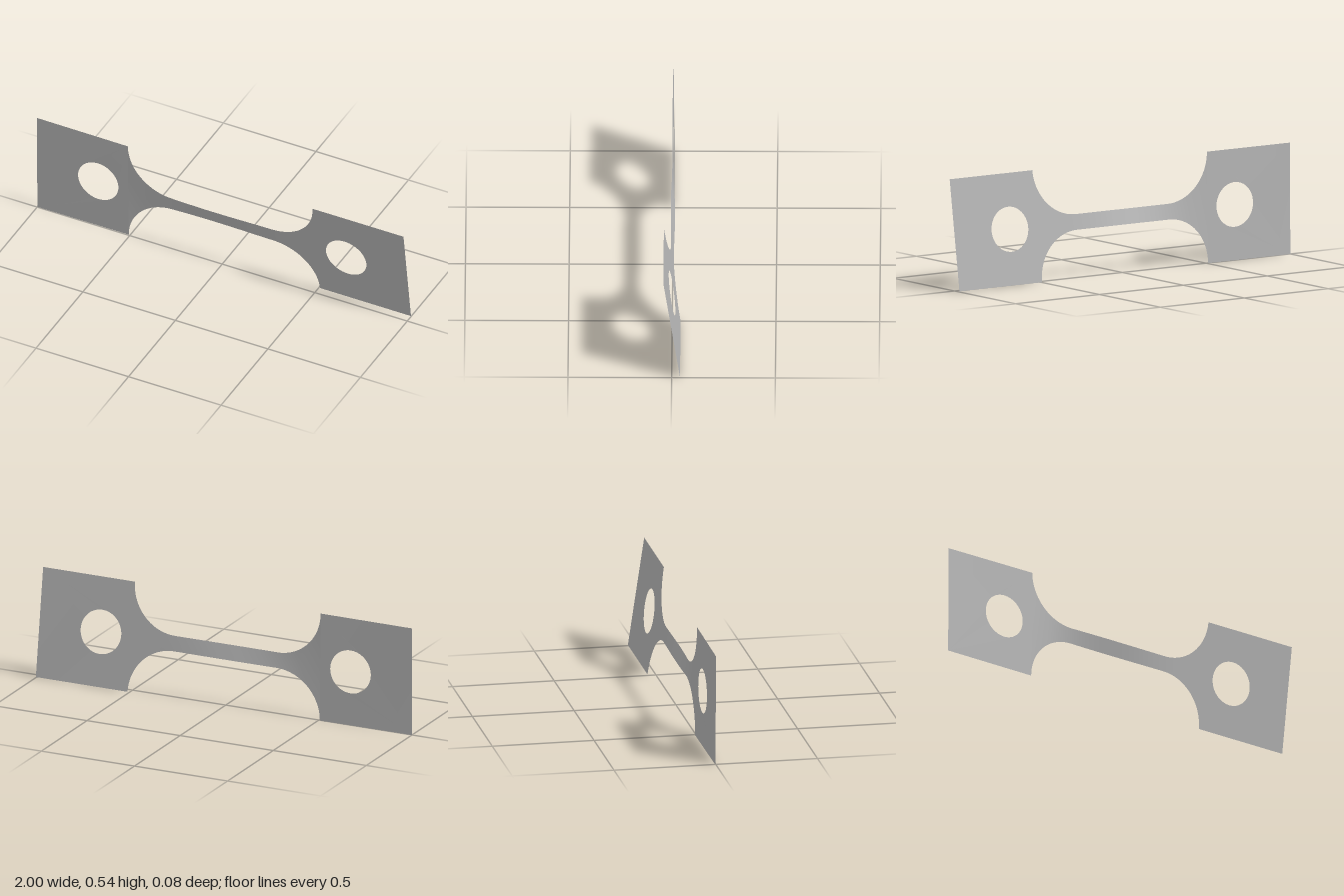
import * as THREE from 'three';

const MID = 0.272;      // height of the long axis
const HALF = 0.2715;    // half height of the grip plates
const NECK = 0.038;     // half height of the gauge strip
const FILLET = HALF - NECK;
const ARC_X = 0.274;    // where the shoulder fillets start
const PLATE_X = ARC_X + FILLET;

// Twist angle about the long axis, in degrees, as [x, angle] keys
const KEYS = [[-1, 0.4], [-0.51, 1], [-0.4, 3.2], [-0.3, 8], [-0.2, 13], [-0.08, 16], [0.05, 15], [0.2, 11], [0.34, 8.6], [1, 8.5]];

function twistAt(x) {
  let i = 0;
  while (i < KEYS.length - 2 && x > KEYS[i + 1][0]) i++;
  const [x0, a0] = KEYS[i], [x1, a1] = KEYS[i + 1];
  return THREE.MathUtils.degToRad(a0 + (a1 - a0) * (x - x0) / (x1 - x0));
}

// Rotates each point of a flat sheet about the long axis
function twist(geometry) {
  const p = geometry.attributes.position;
  for (let i = 0; i < p.count; i++) {
    const x = p.getX(i), v = p.getY(i), a = twistAt(x);
    p.setXYZ(i, x, MID + v * Math.cos(a), v * Math.sin(a));
  }
  geometry.computeVertexNormals();
  return geometry;
}

// Square grip plate with a round pin hole
function plateGeometry(side) {
  const shape = new THREE.Shape();
  const a = Math.min(side, side * PLATE_X), b = Math.max(side, side * PLATE_X);
  shape.moveTo(a, -HALF).lineTo(b, -HALF).lineTo(b, HALF).lineTo(a, HALF).closePath();
  const hole = new THREE.Path();
  hole.absarc(side * 0.67, 0, 0.109, 0, Math.PI * 2, true);
  shape.holes.push(hole);
  return twist(new THREE.ShapeGeometry(shape, 32));
}

// Gauge strip with filleted shoulders, swept as vertical cross-sections
function neckGeometry() {
  const sections = [];
  const arc = 20, straight = 24, rows = 8;
  for (let i = arc; i > 0; i--) {
    const t = (i / arc) * Math.PI / 2;
    sections.push([-ARC_X - FILLET * Math.sin(t), HALF - FILLET * Math.cos(t)]);
  }
  for (let i = 0; i <= straight; i++) sections.push([-ARC_X + 2 * ARC_X * i / straight, NECK]);
  for (let i = 1; i <= arc; i++) {
    const t = (i / arc) * Math.PI / 2;
    sections.push([ARC_X + FILLET * Math.sin(t), HALF - FILLET * Math.cos(t)]);
  }
  const geometry = new THREE.PlaneGeometry(1, 2, sections.length - 1, rows);
  const p = geometry.attributes.position;
  for (let i = 0; i < p.count; i++) {
    const [x, h] = sections[i % sections.length];
    p.setXY(i, x, p.getY(i) * h);
  }
  return twist(geometry);
}

export function createModel() {
  const group = new THREE.Group();
  group.name = 'twistedTestSpecimen';
  const metal = new THREE.MeshStandardMaterial({ color: 0xb4b4b4, side: THREE.DoubleSide });
  metal.name = 'greyMetal';

  const add = (name, geometry) => {
    const mesh = new THREE.Mesh(geometry, metal);
    mesh.name = name;
    group.add(mesh);
  };
  add('leftGripPlate', plateGeometry(1));
  add('rightGripPlate', plateGeometry(-1));
  add('gaugeNeck', neckGeometry());
  return group;
}
